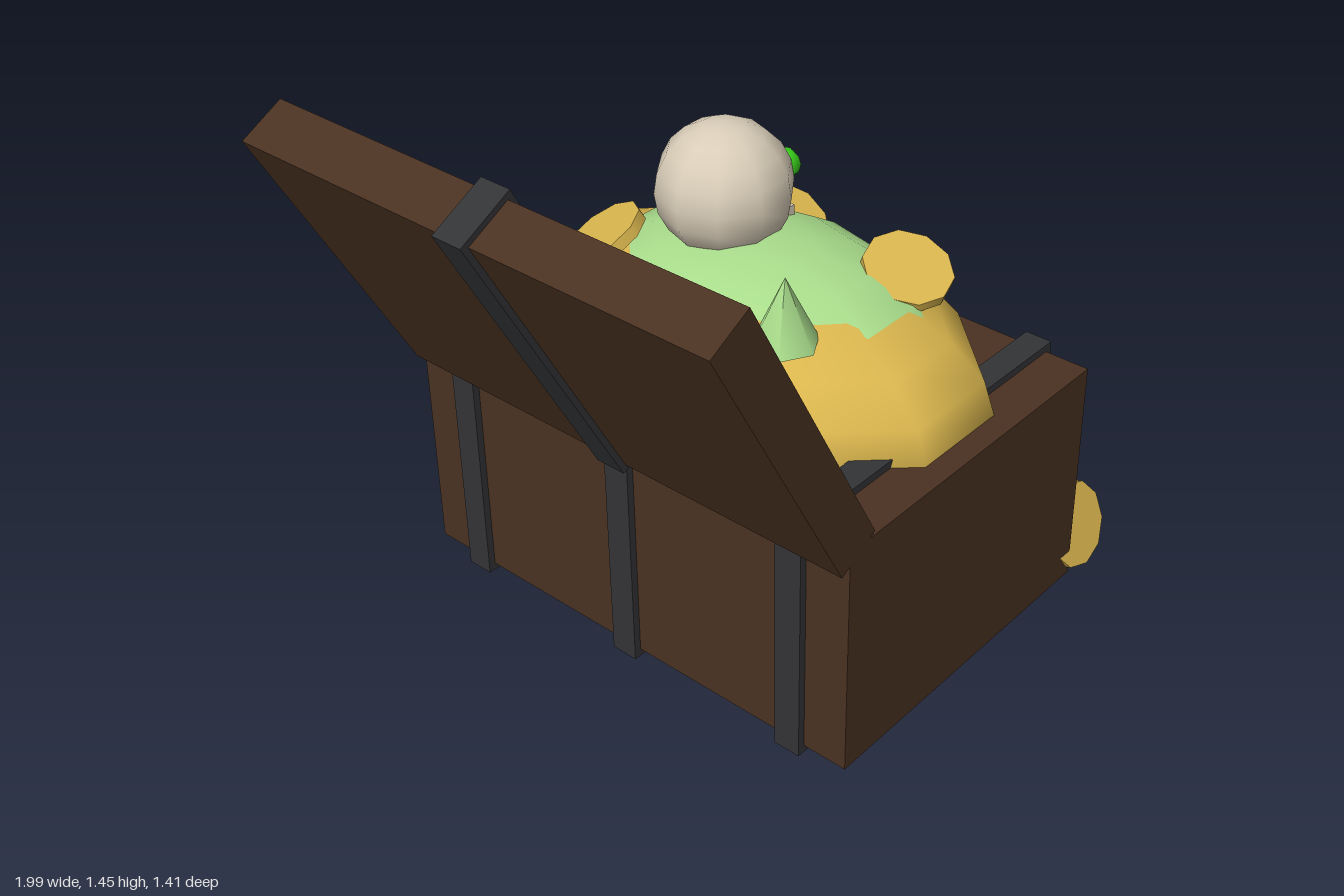
import * as THREE from 'three';

const mat = (name, color) => {
  const m = new THREE.MeshStandardMaterial({ color });
  m.name = name;
  return m;
};

export function createModel() {
  const wood = mat('dark wood', 0x4a3222);
  const iron = mat('dark iron', 0x333436);
  const gold = mat('gold', 0xdab64e);
  const jade = mat('pale green', 0xa9dc8b);
  const bone = mat('bone', 0xd9cdb8);
  const glow = mat('bright green', 0x38d01c);

  const model = new THREE.Group();
  model.name = 'treasureChest';

  const add = (name, geometry, material, pos, rot = [0, 0, 0], parent = model) => {
    const mesh = new THREE.Mesh(geometry, material);
    mesh.name = name;
    mesh.position.set(...pos);
    mesh.rotation.set(...rot);
    parent.add(mesh);
    return mesh;
  };
  const box = (w, h, d) => new THREE.BoxGeometry(w, h, d);

  // Chest body with three iron bands wrapped right round it
  const Z = -0.004;
  add('chestBody', box(0.945, 0.637, 1.372), wood, [-0.0625, 0.3385, Z]);
  for (const z of [-0.527, 0, 0.527]) {
    add('chestBand', box(0.985, 0.677, 0.074), iron, [-0.0625, 0.3385, Z + z]);
  }
  add('lock', box(0.07, 0.165, 0.15), gold, [0.43, 0.53, Z]);

  // Open lid leaning back, with one central band
  const lid = new THREE.Group();
  lid.name = 'lid';
  lid.position.set(-0.712, 1.019, Z);
  lid.rotation.z = 0.495;
  model.add(lid);
  add('lidPanel', box(0.13, 0.87, 1.372), wood, [0, 0, 0], [0, 0, 0], lid);
  add('lidBand', box(0.163, 0.9, 0.085), iron, [0, 0, 0], [0, 0, 0], lid);

  // Heaped treasure: squashed spheres
  add('goldPile', new THREE.SphereGeometry(1, 10, 10), gold, [-0.04, 0.65, -0.006])
    .scale.set(0.445, 0.3, 0.66);
  add('greenMound', new THREE.SphereGeometry(1, 10, 10), jade, [-0.02, 0.75, -0.01])
    .scale.set(0.36, 0.223, 0.52);
  add('greenSpike', new THREE.ConeGeometry(0.085, 0.175, 6), jade, [-0.25, 0.97, 0.26]);

  // Skull
  const skull = new THREE.Group();
  skull.name = 'skull';
  skull.position.set(-0.01, 1.058, -0.132);
  model.add(skull);
  add('cranium', new THREE.SphereGeometry(0.176, 10, 10), bone, [0, 0, 0], [0, 0, 0], skull);
  add('jaw', box(0.13, 0.08, 0.172), bone, [0.1, -0.13, 0], [0, 0, 0], skull);
  for (const side of [-1, 1]) {
    add('eye', new THREE.SphereGeometry(0.041, 6, 6), glow, [0.154, 0.022, side * 0.063], [0, 0, 0], skull);
  }

  // Coins: position, then rotation
  const coin = new THREE.CylinderGeometry(0.115, 0.115, 0.03, 10);
  const coins = [
    // lying on the ground
    [[0.548, 0.035, -0.588]],
    [[0.73, 0.035, -0.22]],
    [[0.888, 0.035, 0.118]],
    [[0.59, 0.035, 0.412]],
    // leaning on the chest
    [[0.465, 0.13, 0.65], [1.2, 0, 0]],
    // resting on the heap
    [[-0.22, 0.93, -0.345], [-0.45, 0, 0.35]],
    [[0.148, 0.915, 0.312], [0.38, 0, 0.15]],
    [[0.23, 0.855, -0.13], [0.6, 0, 0]],
  ];
  for (const [pos, rot] of coins) add('coin', coin, gold, pos, rot);

  return model;
}
